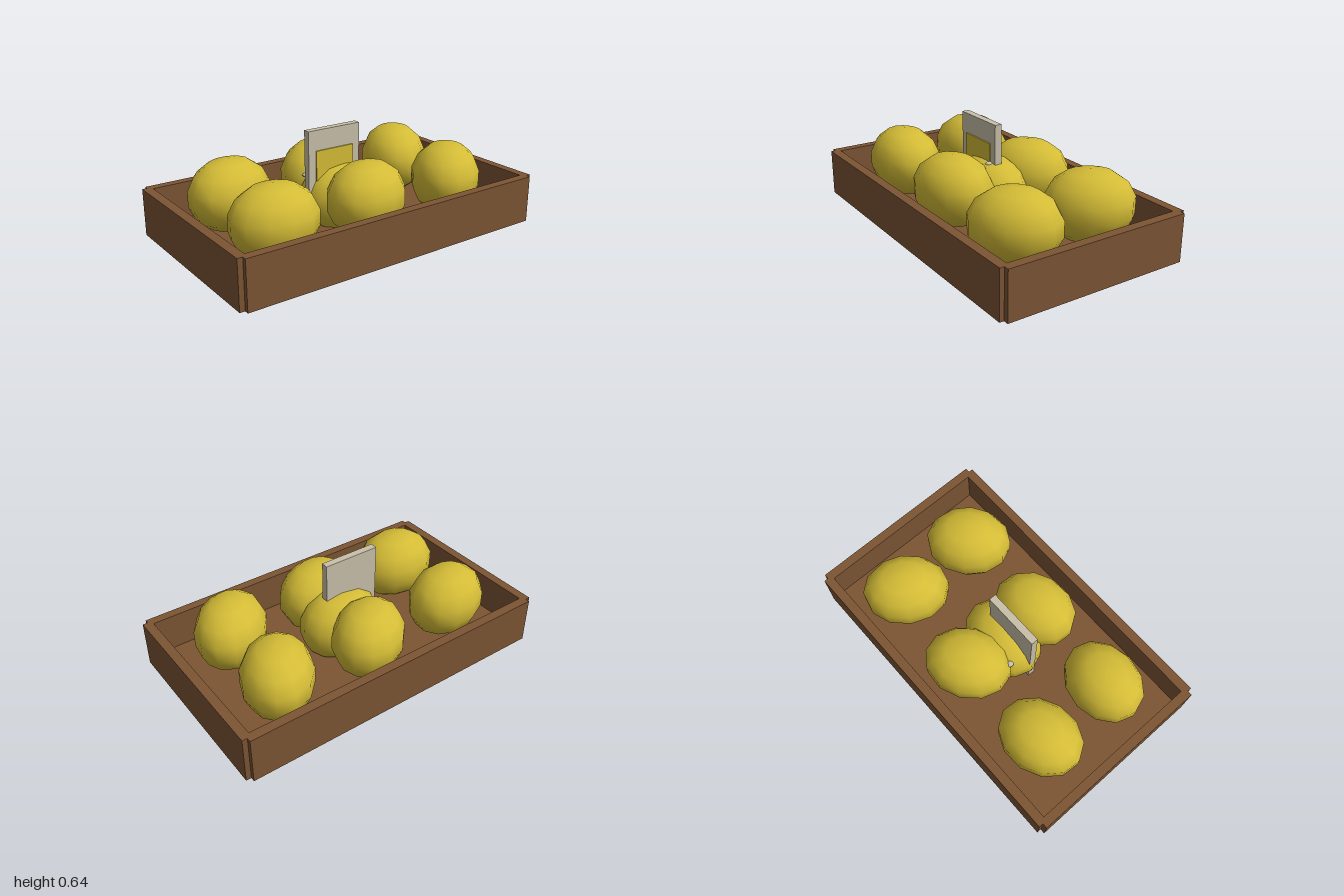
import * as THREE from 'three';

const mat = (name, color) => {
  const m = new THREE.MeshStandardMaterial({ color });
  m.name = name;
  return m;
};

export function createModel() {
  const model = new THREE.Group();
  const wood = mat('wood', 0x7c5534);
  const peel = mat('yellow peel', 0xd4bc36);
  const card = mat('pale card', 0xc9c0a9);

  const add = (name, geometry, material, x, y, z, parent = model) => {
    const mesh = new THREE.Mesh(geometry, material);
    mesh.name = name;
    mesh.position.set(x, y, z);
    parent.add(mesh);
    return mesh;
  };

  // Open crate: floor, two long boards, two end boards with notched corners
  const crate = new THREE.Group();
  crate.name = 'crate';
  model.add(crate);
  add('crateFloor', new THREE.BoxGeometry(1.92, 0.06, 1.1), wood, 0, 0.03, 0, crate);
  for (const s of [-1, 1]) {
    add('longBoard', new THREE.BoxGeometry(1.94, 0.285, 0.055), wood, 0, 0.1425, s * 0.5635, crate);
    add('endBoard', new THREE.BoxGeometry(0.055, 0.285, 1.13), wood, s * 0.9725, 0.1425, 0, crate);
  }

  // Coarse rounded fruit, slightly fuller than an ellipsoid towards the top
  const fruitGeometry = new THREE.SphereGeometry(1, 12, 7);
  const p = fruitGeometry.attributes.position;
  for (let i = 0; i < p.count; i++) {
    const r = Math.hypot(p.getX(i), p.getZ(i));
    if (r < 0.001) continue;
    const k = Math.pow(r, 0.86) / r;
    p.setX(i, p.getX(i) * k);
    p.setZ(i, p.getZ(i) * k);
  }
  fruitGeometry.scale(0.262, 0.21, 0.208);

  // Each entry: x, y, z, yaw
  const fruits = [
    [-0.605, 0.27, -0.25, 0.25], [-0.605, 0.27, 0.243, 0],
    [0, 0.27, -0.27, 0.6], [-0.005, 0.27, 0.25, 0.25],
    [0.6, 0.27, -0.25, 1.0], [0.6, 0.27, 0.245, 0.75],
    [0, 0.21, 0, 0],
  ];
  for (const [x, y, z, yaw] of fruits) {
    add('fruit', fruitGeometry, peel, x, y, z).rotation.y = yaw;
  }

  // Upright price card with a coloured panel on its front
  add('priceCard', new THREE.BoxGeometry(0.35, 0.641, 0.043), card, -0.072, 0.3195, 0.012);
  add('cardPanel', new THREE.BoxGeometry(0.255, 0.22, 0.009), peel, -0.072, 0.41, 0.037);

  // Two small flattened pebbles resting on the middle fruit
  const pebble = new THREE.SphereGeometry(0.021, 10, 8).scale(1, 0.5, 1);
  add('pebble', pebble, card, 0.06, 0.403, 0.05);
  add('pebble', pebble, card, -0.18, 0.335, -0.105);

  return model;
}
